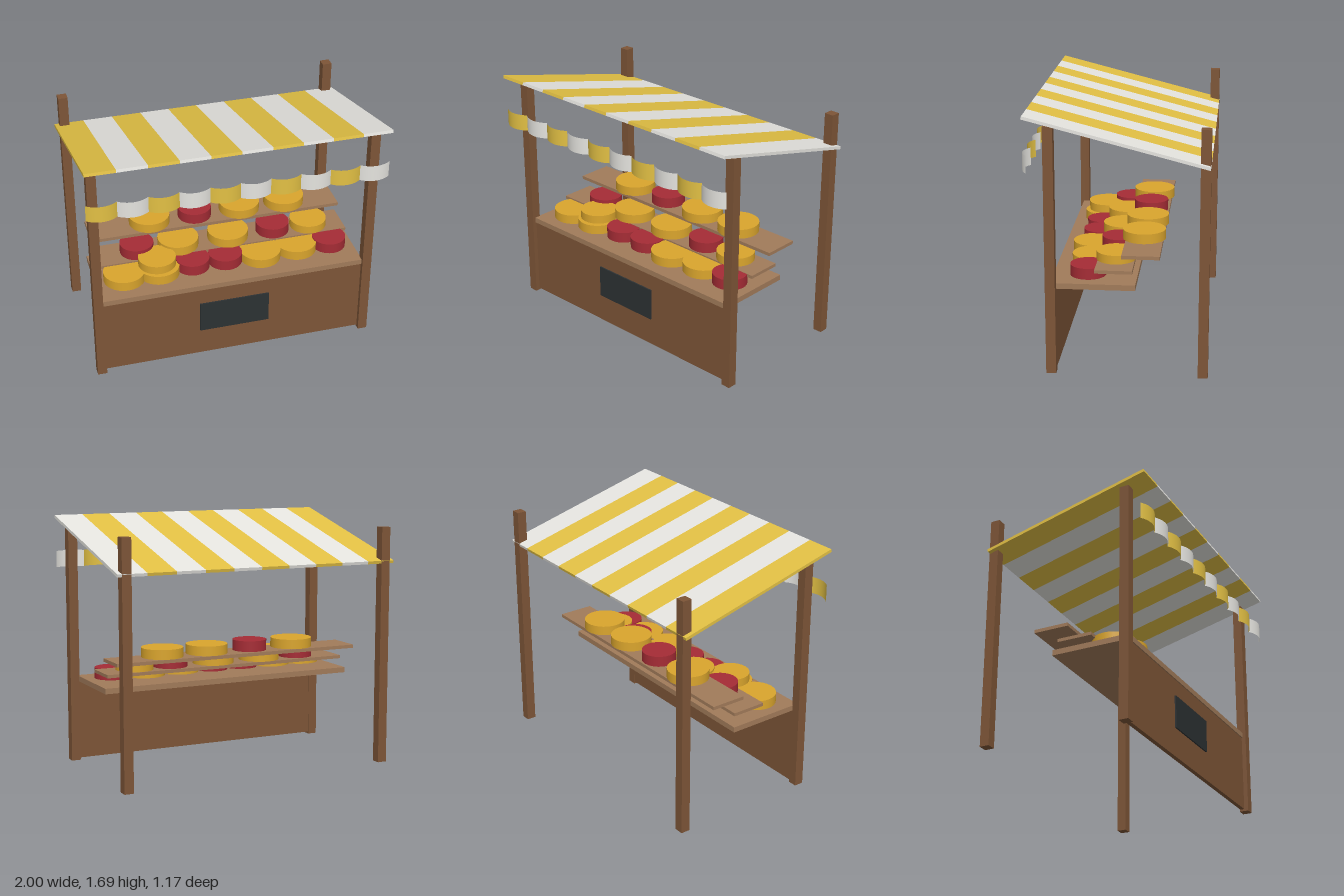
import * as THREE from 'three';

const mat = (color, side = THREE.FrontSide) => new THREE.MeshStandardMaterial({ color, side });
const darkWood = mat(0x7d5537), lightWood = mat(0xa17b5a), slate = mat(0x2c3133);
const yellow = mat(0xe2c044), white = mat(0xe5e4df);
const yellowCloth = mat(0xe2c044, THREE.DoubleSide), whiteCloth = mat(0xe5e4df, THREE.DoubleSide);
const yellowRind = mat(0xdaa52d), redRind = mat(0xa52c35);

export function createModel() {
  const stall = new THREE.Group();
  stall.name = 'marketStall';

  const add = (name, geometry, material, x, y, z, parent = stall) => {
    const mesh = new THREE.Mesh(geometry, material);
    mesh.name = name;
    mesh.position.set(x, y, z);
    parent.add(mesh);
    return mesh;
  };
  // Box given by its x size and its y and z ranges, centred on x = 0
  const slab = (name, material, w, y0, y1, z0, z1) =>
    add(name, new THREE.BoxGeometry(w, y1 - y0, z1 - z0), material, 0, (y0 + y1) / 2, (z0 + z1) / 2);

  // Four corner posts
  const postGeo = new THREE.BoxGeometry(0.064, 1.618, 0.064);
  for (const x of [-0.938, 0.938]) {
    add('frontPost', postGeo, darkWood, x, 0.809, 0.418);
    add('backPost', postGeo, darkWood, x, 0.809, -0.55);
  }

  // Counter, front panel, sign board and stepped shelves
  slab('frontPanel', darkWood, 1.82, 0.015, 0.555, 0.39, 0.42);
  slab('counterTop', lightWood, 1.82, 0.553, 0.59, -0.115, 0.428);
  slab('signBoard', slate, 0.486, 0.212, 0.436, 0.41, 0.43);
  slab('lowerShelf', lightWood, 1.77, 0.653, 0.675, -0.093, 0.147);
  slab('upperShelf', lightWood, 1.77, 0.754, 0.777, -0.267, -0.024);

  // Sloping striped canopy
  const canopy = new THREE.Group();
  canopy.name = 'canopy';
  canopy.position.set(0, 1.53, -0.004);
  canopy.rotation.x = -0.25;
  stall.add(canopy);
  const stripeGeo = new THREE.BoxGeometry(0.2, 0.02, 1.19);

  // Hanging valance of bowed panels: arc with chord 0.2 and bulge 0.036
  const radius = 0.157, half = Math.asin(0.1 / radius);
  const valanceGeo = new THREE.CylinderGeometry(radius, radius, 0.112, 10, 1, true, -half, 2 * half);

  for (let i = 0; i < 10; i++) {
    const x = -0.9 + i * 0.2;
    add('canopyStripe', stripeGeo, i % 2 ? white : yellow, x, 0, 0, canopy);
    add('valancePanel', valanceGeo, i % 2 ? whiteCloth : yellowCloth, x, 1.386, 0.584 - radius);
  }

  // Cheese wheels: [x, z, isRed, radius]
  const rows = [
    { y: 0.6, wheels: [[-0.715, 0.22], [-0.475, 0.215], [-0.235, 0.2, true], [-0.005, 0.2, true],
      [0.24, 0.215], [0.505, 0.19], [0.742, 0.2, true]] },
    { y: 0.668, wheels: [[-0.482, 0.2, false, 0.128]] },
    { y: 0.677, wheels: [[-0.585, 0.03, true], [-0.295, 0.03], [0.06, 0.03], [0.382, 0.03, true],
      [0.643, 0.03, false, 0.128]] },
    { y: 0.78, wheels: [[-0.455, -0.142], [-0.133, -0.142, true], [0.19, -0.142], [0.515, -0.142]] },
  ];
  for (const { y, wheels } of rows) {
    for (const [x, z, red = false, r = red ? 0.116 : 0.141] of wheels) {
      const h = red ? 0.073 : r < 0.14 ? 0.058 : 0.065;
      add(red ? 'redCheese' : 'yellowCheese', new THREE.CylinderGeometry(r, r, h, 28),
        red ? redRind : yellowRind, x, y + h / 2, z);
    }
  }
  return stall;
}
